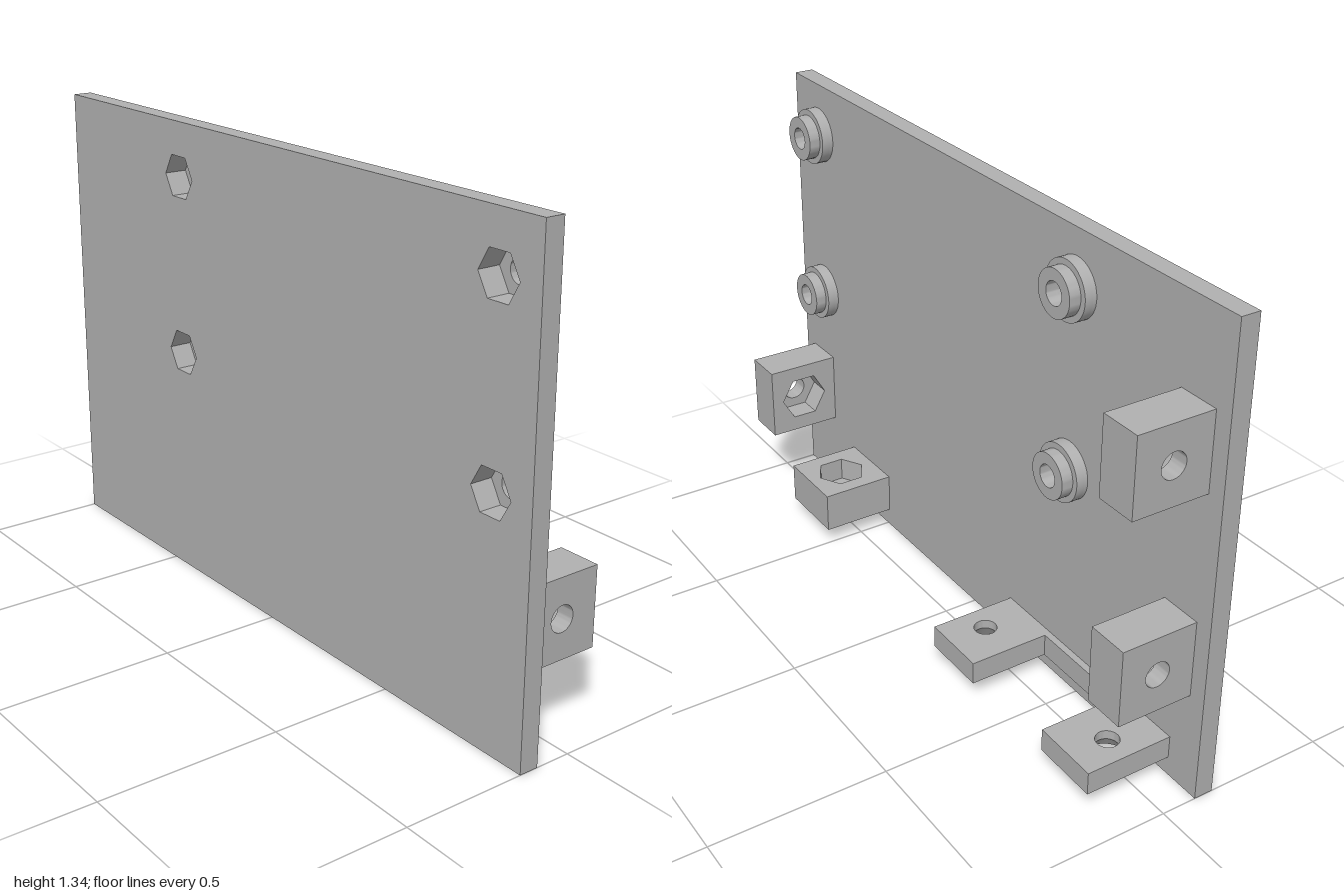
import * as THREE from 'three';
import { toCreasedNormals } from 'three/addons/utils/BufferGeometryUtils.js';

const grey = new THREE.MeshStandardMaterial({ color: 0xb0b0b0, side: THREE.DoubleSide });
grey.name = 'grey plastic';

// Closed outlines
function rect(x0, y0, x1, y1) {
  return new THREE.Shape([[x0, y0], [x1, y0], [x1, y1], [x0, y1]].map(p => new THREE.Vector2(...p)));
}
function ring(r, sides = 48, x = 0, y = 0) {
  const pts = [];
  for (let i = 0; i < sides; i++) {
    const a = (i / sides) * Math.PI * 2;
    pts.push(new THREE.Vector2(x + r * Math.cos(a), y + r * Math.sin(a)));
  }
  return new THREE.Shape(pts);
}

// Flat layer between two heights along z, with holes cut through
function layer(name, outline, holes, z0, z1) {
  outline.holes.push(...holes);
  const geo = new THREE.ExtrudeGeometry(outline, { depth: z1 - z0, bevelEnabled: false });
  geo.translate(0, 0, z0);
  const mesh = new THREE.Mesh(toCreasedNormals(geo, 0.5), grey);
  mesh.name = name;
  return mesh;
}

function group(name, ...parts) {
  const g = new THREE.Group();
  g.name = name;
  g.add(...parts);
  return g;
}

// Stepped round standoff behind the plate, with the end of the nut pocket
function standoff(x, y) {
  const g = group('standoff',
    layer('pocketRim', ring(0.082), [ring(0.067, 6)], 0.09, 0.10),
    layer('standoffBase', ring(0.082), [ring(0.032)], 0.066, 0.09),
    layer('standoffTip', ring(0.065), [ring(0.032)], 0.033, 0.066));
  g.position.set(x, y, 0);
  return g;
}

// Square block with a hexagonal nut pocket opening along local +z
function nutBlock(name) {
  const s = 0.11;
  return group(name,
    layer('blockFloor', rect(-s, -s, s, s), [ring(0.036)], -0.06, -0.01),
    layer('blockPocket', rect(-s, -s, s, s), [ring(0.074, 6)], -0.01, 0.06));
}

// Screw tab lying flat, hole countersunk from below; dir mirrors it in x
function screwTab(x, dir) {
  const hx = 0.02 * dir, hy = 0.0875 + 0.075 - 0.1275 + 0.0;
  const outline = () => rect(-0.0975, -0.1275, 0.0975, 0.1275);
  const cone = new THREE.Mesh(new THREE.CylinderGeometry(0.032, 0.06, 0.04, 48, 1, true), grey);
  cone.name = 'countersink';
  cone.rotation.x = Math.PI / 2;
  cone.position.set(hx, hy - 0.025, 0.02);
  const g = group('screwTab',
    layer('tabTop', outline(), [ring(0.032, 48, hx, hy - 0.025)], 0.04, 0.066),
    layer('tabBottom', outline(), [ring(0.06, 48, hx, hy - 0.025)], 0, 0.04),
    cone);
  g.rotation.x = -Math.PI / 2;
  g.position.set(x, 0.054, -0.0275);
  return g;
}

export function createModel() {
  const model = new THREE.Group();
  model.name = 'mountingPlate';

  // Plate with four nut pockets, each backed by a standoff
  const spots = [-0.426, 0.864].flatMap(x => [0.67, 1.18].map(y => [x, y]));
  model.add(layer('plate', rect(-1, 0, 1, 1.335),
    spots.map(([x, y]) => ring(0.067, 6, x, y)), 0.10, 0.155));
  spots.forEach(([x, y]) => model.add(standoff(x, y)));

  // Side blocks, pockets facing inward
  for (const [side, y] of [[-1, 0.98], [-1, 0.402], [1, 0.336]]) {
    const block = nutBlock('sideBlock');
    block.rotation.y = -side * Math.PI / 2;
    block.position.set(side * 0.89, y, -0.01);
    model.add(block);
  }

  // Bottom block, pocket facing up
  const bottom = nutBlock('bottomBlock');
  bottom.rotation.set(-Math.PI / 2, 0, Math.PI / 2);
  bottom.position.set(0.6, 0.114, -0.01);
  model.add(bottom);

  // Pair of screw tabs joined by a thin strip
  model.add(screwTab(-0.793, -1), screwTab(-0.281, 1));
  const strip = new THREE.Mesh(new THREE.BoxGeometry(0.32, 0.066, 0.02), grey);
  strip.name = 'tabStrip';
  strip.position.set(-0.537, 0.087, 0.09);
  model.add(strip);

  return model;
}
